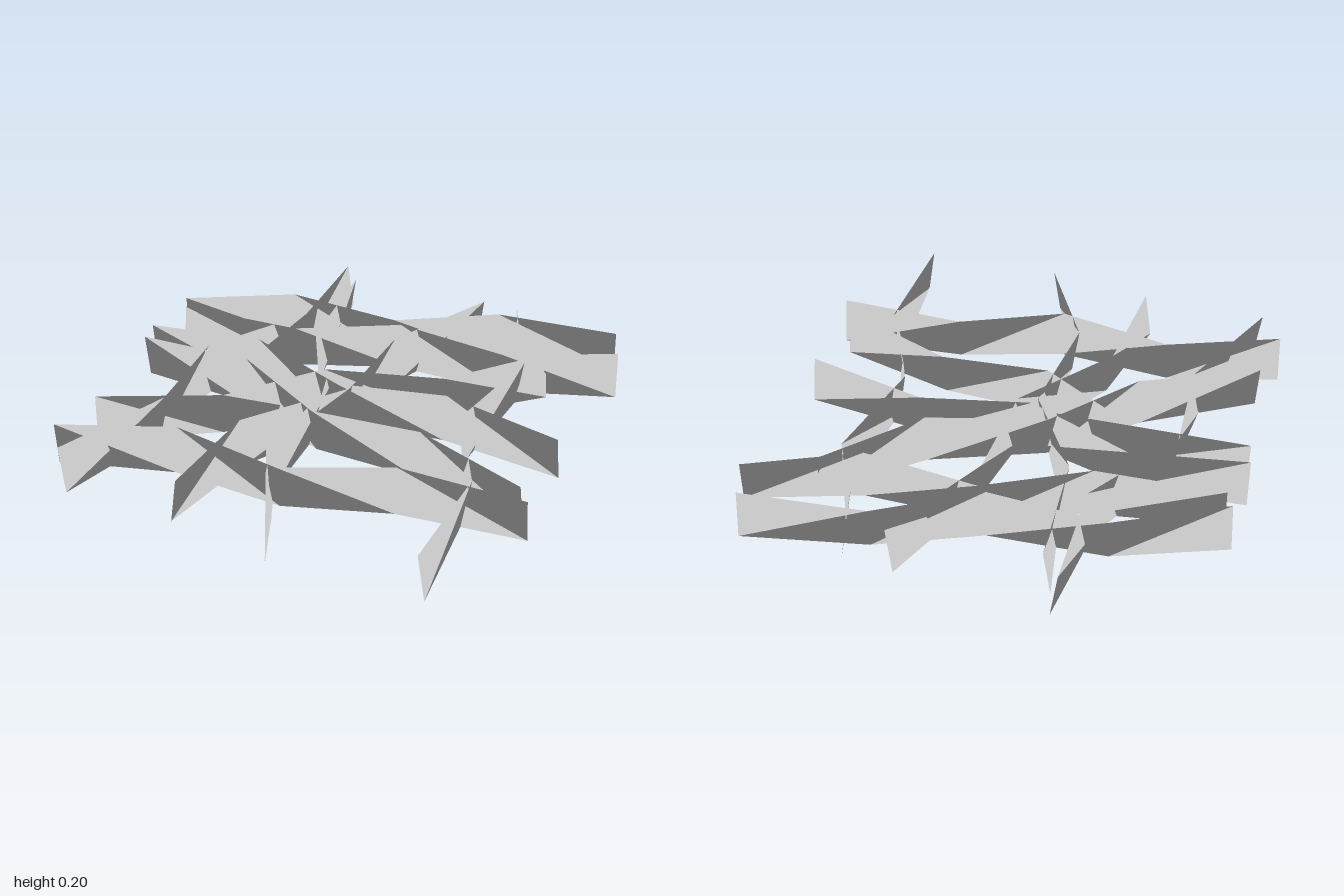
import * as THREE from 'three';

const HEIGHT = 0.2;
const LEAN = 0.015;
const HALF_THICKNESS = 0.001;

// Plan of each strip: the lean of its ends, then its five x, z points.
const acrossStrips = [
  [-1, [[-0.993, -0.4], [-0.555, -0.62], [-0.05, -0.625], [0.355, -0.85], [0.88, -0.938]]],
  [1, [[-0.945, -0.3], [-0.415, -0.365], [0, -0.57], [0.5, -0.547], [0.953, -0.745]]],
  [-1, [[-0.995, -0.117], [-0.51, -0.18], [-0.035, -0.017], [0.42, -0.1], [0.953, -0.012]]],
  [-1, [[-0.97, -0.012], [-0.48, -0.007], [-0.03, 0.223], [0.43, 0.205], [0.943, 0.368]]],
  [-1, [[-0.93, 0.77], [-0.465, 0.6], [0.03, 0.658], [0.458, 0.48], [0.998, 0.45]]],
  [1, [[-0.885, 0.54], [-0.43, 0.275], [-0.13, -0.075], [0.345, -0.25], [0.677, -0.61]]],
];
const lengthwiseStrips = [
  [-1, [[-0.447, -0.993], [-0.442, -0.497], [-0.665, -0.047], [-0.645, 0.405], [-0.8, 0.93]]],
  [1, [[-0.385, -0.885], [-0.295, -0.357], [-0.065, 0.043], [-0.06, 0.55], [0.163, 0.988]]],
  [1, [[0.233, -0.953], [0.04, -0.457], [0.015, 0.003], [-0.25, 0.433], [-0.29, 0.925]]],
  [-1, [[0.42, -0.953], [0.595, -0.507], [0.55, 0.003], [0.738, 0.423], [0.777, 0.96]]],
];

// Upright folded sheet whose lean alternates from one fold to the next.
function stripGeometry(endLean, points) {
  const positions = [];
  const normals = [];
  const index = [];
  const count = points.length;

  // The two sides of the sheet, a hair apart and shaded as one with the ground
  for (const side of [-1, 1]) {
    const base = positions.length / 3;
    points.forEach(([x, z], i) => {
      const a = points[Math.max(i - 1, 0)];
      const b = points[Math.min(i + 1, count - 1)];
      const along = new THREE.Vector2(b[0] - a[0], b[1] - a[1]).normalize();
      const lean = LEAN * endLean * (i % 2 ? -1 : 1);
      for (const [y, offset] of [[0, -lean], [HEIGHT, lean]]) {
        const d = offset + side * HALF_THICKNESS;
        positions.push(x + along.y * d, y, z - along.x * d);
        normals.push(0, 1, 0);
      }
      if (i === count - 1) return;
      const k = base + i * 2;
      if (side < 0) index.push(k, k + 2, k + 1, k + 1, k + 2, k + 3);
      else index.push(k, k + 1, k + 2, k + 1, k + 3, k + 2);
    });
  }

  const geometry = new THREE.BufferGeometry();
  geometry.setAttribute('position', new THREE.Float32BufferAttribute(positions, 3));
  geometry.setAttribute('normal', new THREE.Float32BufferAttribute(normals, 3));
  geometry.setIndex(index);
  return geometry;
}

export function createModel() {
  const model = new THREE.Group();
  model.name = 'foldedStripPatch';
  const grey = new THREE.MeshStandardMaterial({ color: 0xc8c8c8 });
  grey.name = 'lightGrey';

  const addStrips = (name, strips) => {
    const group = new THREE.Group();
    group.name = `${name}s`;
    strips.forEach(([lean, points], i) => {
      const strip = new THREE.Mesh(stripGeometry(lean, points), grey);
      strip.name = `${name}${i + 1}`;
      group.add(strip);
    });
    model.add(group);
  };

  addStrips('acrossStrip', acrossStrips);
  addStrips('lengthwiseStrip', lengthwiseStrips);
  return model;
}
